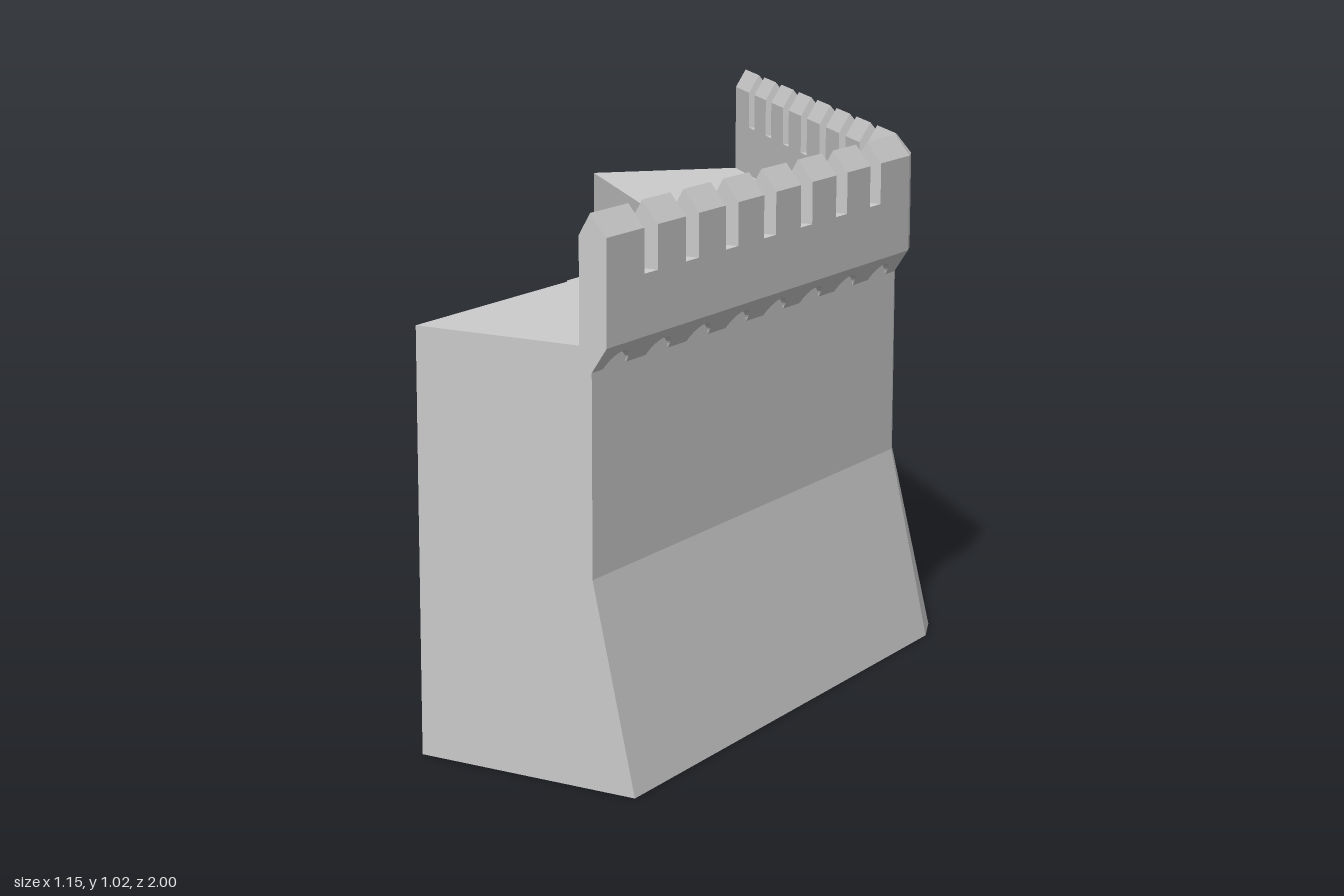
import * as THREE from 'three';

const material = new THREE.MeshStandardMaterial({ color: 0xcccccc, flatShading: true, side: THREE.DoubleSide });
const CORNER = { x: 0.12, z: 0.01 };      // inner bend of the wall
const MITER = Math.tan(Math.PI / 8);      // the two arms meet at 45 degrees
const R = Math.SQRT1_2;
const BEND = -0.34 * MITER;               // where the outer corner facet starts
const ENDS = [0.99, 0.983];               // arm lengths
const PITCH = 0.14;

// Arm coordinates: s runs along the arm away from the bend, d outward from the inner face
function place(arm, s, d, y) {
  const t = Math.max(s, -d * MITER);
  return arm === 0
    ? new THREE.Vector3(CORNER.x + d, y, CORNER.z + t)
    : new THREE.Vector3(CORNER.x + (d - t) * R, y, CORNER.z - (d + t) * R);
}

// Skin a counter-clockwise [d, y] profile through [arm, s] stations; skip lists open edges
function loft(name, profile, stations, skip = []) {
  const rings = stations.map(([arm, s]) => profile.map(([d, y]) => place(arm, s, d, y)));
  const n = profile.length;
  const points = [];
  for (let j = 0; j + 1 < rings.length; j++) {
    for (let i = 0; i < n; i++) {
      if (skip.includes(i)) continue;
      const k = (i + 1) % n;
      const a = rings[j][i], b = rings[j][k], c = rings[j + 1][k], e = rings[j + 1][i];
      points.push(a, e, c, a, c, b);
    }
  }
  if (n > 2) {
    const last = rings[rings.length - 1];
    const faces = THREE.ShapeUtils.triangulateShape(profile.map(([d, y]) => new THREE.Vector2(d, y)), []);
    for (const [a, b, c] of faces) {
      points.push(rings[0][a], rings[0][b], rings[0][c], last[c], last[b], last[a]);
    }
  }
  const geometry = new THREE.BufferGeometry().setFromPoints(points);
  geometry.computeVertexNormals();
  const mesh = new THREE.Mesh(geometry, material);
  mesh.name = name;
  return mesh;
}

// Stations between two distances on one arm, in the order that faces outward
const span = (arm, near, far) => (arm === 0 ? [[0, far], [0, near]] : [[1, near], [1, far]]);

// Sloped overhang under the parapet, with a row of small arches cut into it
function archedCorbel(arm) {
  const low = 0.745, high = 0.79, sign = arm === 0 ? -1 : 1;
  const shape = new THREE.Shape();
  shape.moveTo(sign * BEND, high);
  shape.lineTo(sign * BEND, low);
  for (let i = 0; i < 8; i++) {
    const s = sign * (-0.063 + i * PITCH);
    shape.lineTo(s - sign * 0.037, low);
    const from = sign > 0 ? Math.PI : 0;
    shape.absellipse(s, low, 0.037, 0.028, from, Math.PI - from, sign > 0, 0);
  }
  shape.lineTo(sign * ENDS[arm], low);
  shape.lineTo(sign * ENDS[arm], high);
  shape.closePath();
  const geometry = new THREE.ExtrudeGeometry(shape, { depth: 1, bevelEnabled: false, curveSegments: 10 });
  const pos = geometry.attributes.position;
  for (let i = 0; i < pos.count; i++) {
    const y = pos.getY(i);
    const d = 0.365 + pos.getZ(i) * 0.03 * (y - low) / (high - low);
    const p = place(arm, sign * pos.getX(i), d, y);
    pos.setXYZ(i, p.x, p.y, p.z);
  }
  geometry.computeVertexNormals();
  const mesh = new THREE.Mesh(geometry, material);
  mesh.name = 'archedCorbel';
  return mesh;
}

export function createModel() {
  const group = new THREE.Group();
  group.name = 'bentCastleWall';
  const around = [[0, ENDS[0]], [0, BEND], [1, BEND], [1, ENDS[1]]];
  const facet = [[0, BEND], [1, BEND]];

  // Main wall with battered foot, open underneath
  const wall = [[0, 0], [0.45, 0], [0.365, 0.38], [0.365, 0.79], [0, 0.79]];
  group.add(loft('wall', wall, around, [0, 4]));

  // Parapet base and the plain corner of the overhang
  group.add(loft('parapet', [[0.34, 0.79], [0.395, 0.79], [0.395, 0.9], [0.34, 0.9]], around));
  group.add(loft('cornerCorbel', [[0.365, 0.745], [0.395, 0.79], [0.365, 0.79]], facet));

  // Merlons with ridged tops; the corner one wraps around the bend
  const merlon = [[0.34, 0.9], [0.395, 0.9], [0.395, 0.98], [0.363, 1.02], [0.34, 0.98]];
  const firstSlot = 0.005, halfSlot = 0.0225;
  group.add(loft('cornerMerlon', merlon,
    [[0, firstSlot - halfSlot], ...facet, [1, firstSlot - halfSlot]]));

  const buttress = [[0, 0], [0, 0.785], [-0.052, 0.715], [-0.052, 0.475], [-0.11, 0.395], [-0.11, 0]];
  const cap = [[-0.07, 0.71], [-0.06, 0.703], [0, 0.782], [0, 0.79], [-0.007, 0.79]];
  const mid = 0.425, half = 0.057;
  for (const arm of [0, 1]) {
    group.add(archedCorbel(arm));
    for (let i = 0; i < 7; i++) {
      const near = firstSlot + i * PITCH + halfSlot;
      const far = i < 6 ? near + PITCH - 2 * halfSlot : ENDS[arm];
      group.add(loft('merlon', merlon, span(arm, near, far)));
    }
    // Inner face, left open behind the hollow buttress
    const face = [[0, 0.79], [0, 0]];
    group.add(loft('innerFace', face, span(arm, 0, mid - half), [1]));
    group.add(loft('innerFace', face, span(arm, mid + half, ENDS[arm]), [1]));
    // Stepped buttress with a sloping cap slab
    group.add(loft('buttress', buttress, span(arm, mid - half, mid + half), [0, 5]));
    group.add(loft('buttressCap', cap, span(arm, mid - half - 0.005, mid + half + 0.005)));
  }
  return group;
}
